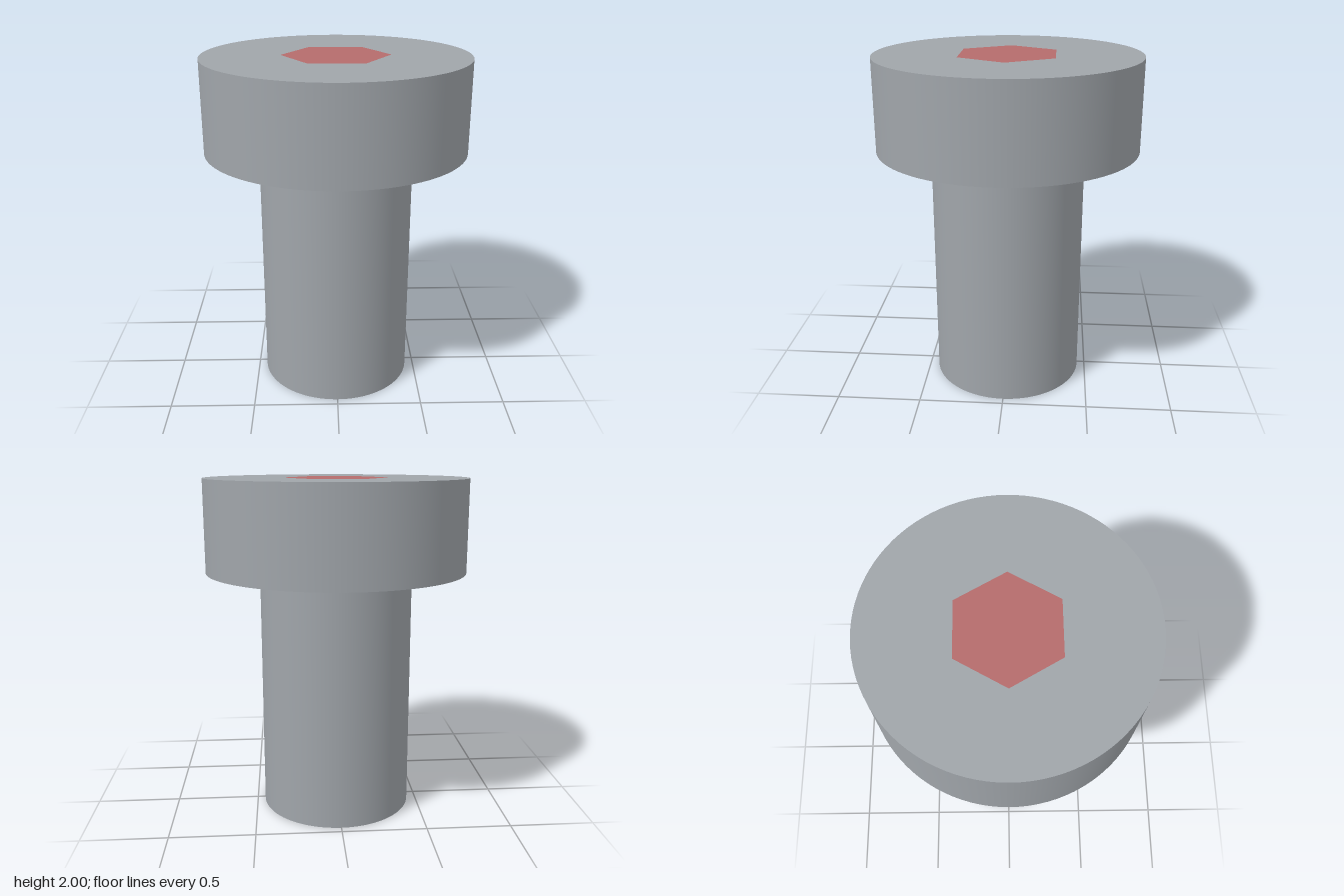
import * as THREE from 'three';

const HEAD_R = 0.77, SHAFT_R = 0.453, HEAD_Y = 1.46, TOP_Y = 2, HEX_R = 0.314, SEGMENTS = 96;

// Corners of a regular polygon, the first one on +x
function polygon(radius, sides) {
  return Array.from({ length: sides }, (_, i) => {
    const a = (i / sides) * Math.PI * 2;
    return new THREE.Vector2(radius * Math.cos(a), radius * Math.sin(a));
  });
}

export function createModel() {
  const steel = new THREE.MeshStandardMaterial({ color: 0xa0a5aa });
  steel.name = 'steel grey';
  const red = new THREE.MeshStandardMaterial({ color: 0xb56c6c });
  red.name = 'muted red';

  const model = new THREE.Group();
  model.name = 'socketScrew';
  const add = (name, geometry, material, y) => {
    const mesh = new THREE.Mesh(geometry, material);
    mesh.name = name;
    mesh.position.y = y;
    model.add(mesh);
  };

  // Shaft with its flat end
  add('shaft', new THREE.CylinderGeometry(SHAFT_R, SHAFT_R, HEAD_Y, SEGMENTS, 1, true), steel, HEAD_Y / 2);
  add('shaftEnd', new THREE.CircleGeometry(SHAFT_R, SEGMENTS).rotateX(Math.PI / 2), steel, 0);

  // Head wall and underside
  const headHeight = TOP_Y - HEAD_Y;
  add('headWall', new THREE.CylinderGeometry(HEAD_R, HEAD_R, headHeight, SEGMENTS, 1, true), steel, HEAD_Y + headHeight / 2);
  add('headUnderside', new THREE.RingGeometry(SHAFT_R, HEAD_R, SEGMENTS).rotateX(Math.PI / 2), steel, HEAD_Y);

  // Head top with the hexagonal key face set flush into it
  const hexagon = polygon(HEX_R, 6);
  const top = new THREE.Shape(polygon(HEAD_R, SEGMENTS));
  top.holes.push(new THREE.Path(hexagon));
  add('headTop', new THREE.ShapeGeometry(top).rotateX(-Math.PI / 2), steel, TOP_Y);
  add('hexKeyFace', new THREE.ShapeGeometry(new THREE.Shape(hexagon)).rotateX(-Math.PI / 2), red, TOP_Y);

  return model;
}
